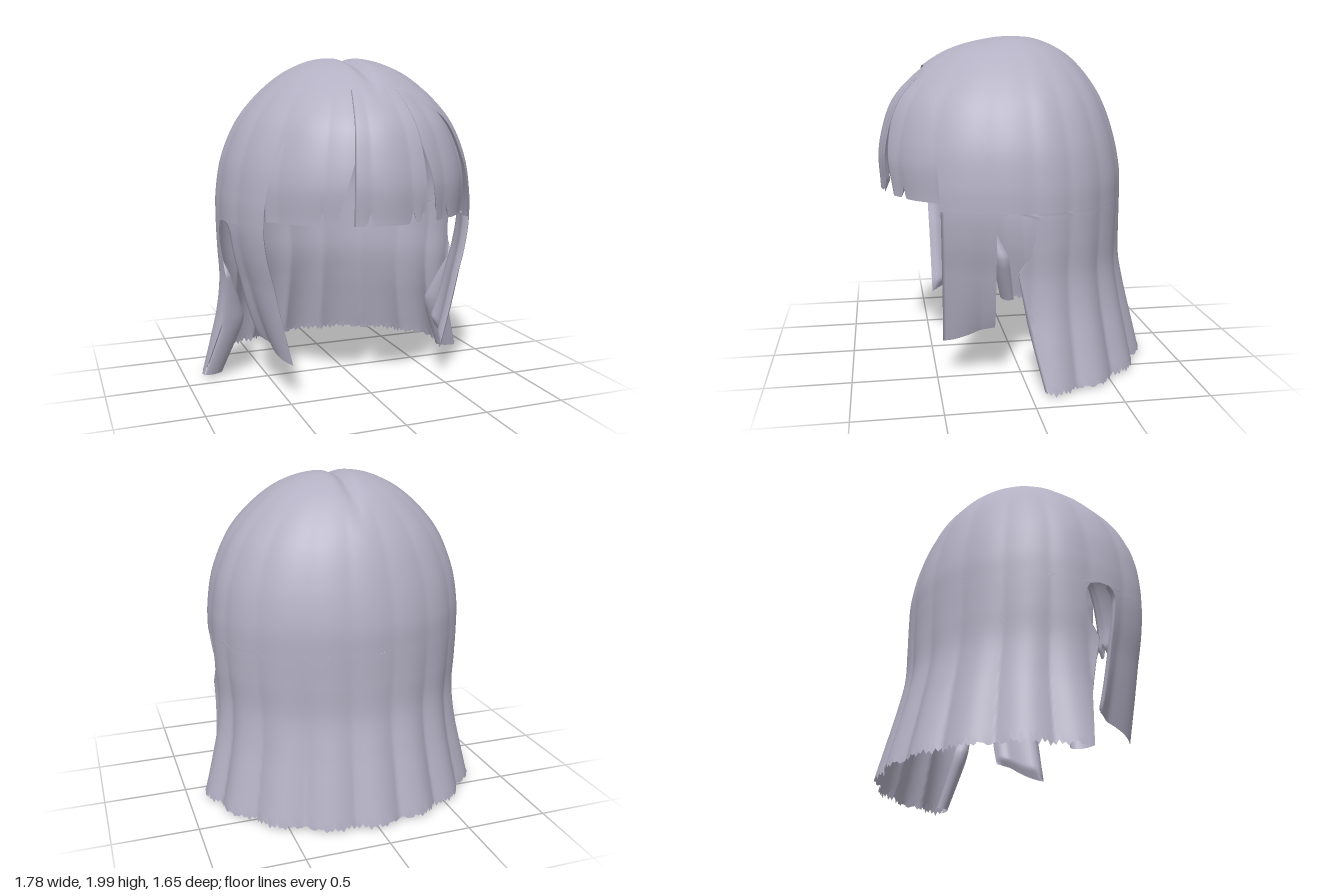
import * as THREE from 'three';

// Horizontal outlines from crown to hem: height, half width, depth behind, depth in front
const rings = [
  [2.0, 0, 0, 0], [1.985, 0.17, 0.13, 0.14], [1.94, 0.3, 0.25, 0.33], [1.87, 0.42, 0.36, 0.48],
  [1.75, 0.555, 0.47, 0.64], [1.6, 0.67, 0.56, 0.77], [1.4, 0.755, 0.63, 0.84], [1.2, 0.79, 0.67, 0.865],
  [1.04, 0.795, 0.675, 0.87], [0.85, 0.79, 0.675, 0.87], [0.65, 0.78, 0.68, 0.86],
  [0.45, 0.8, 0.72, 0.86], [0.25, 0.845, 0.77, 0.86], [0.03, 0.9, 0.825, 0.86],
];
const CENTER = -0.02;
const profile = new THREE.CubicInterpolant(rings.map((_, i) => i), rings.flat(), 4);
const ringAt = (t) => Array.from(profile.evaluate(t));
const { lerp, clamp, smoothstep } = THREE.MathUtils;

// Point on the hair volume: t runs down the rings, a runs round from the back (0) to the front (PI)
function hairPoint(t, a, scale = 1) {
  const [y, w, back, front] = ringAt(t);
  const amp = 0.012 * smoothstep(t, 1, 5) + 0.035 * smoothstep(1.1 - y, 0, 1);
  const wave = 0.5 * Math.sin(3.7 * a + 0.6);
  const r = scale * (1 - amp * (1 - Math.abs(Math.cos(9 * a + wave * 0.4))));
  const c = -Math.cos(a);
  const x = w * r * Math.sin(a);
  const z = CENTER + (c > 0 ? front : back) * r * c;
  const parting = 0.028 * Math.exp(-((x / 0.045) ** 2)) * (1 - smoothstep(t, 2, 4.5));
  return new THREE.Vector3(x, y - parting, z);
}

// Angle at which ring t reaches depth z
function angleAt(t, z, scale = 1) {
  const [, , back, front] = ringAt(t);
  const d = z - CENTER;
  return Math.acos(clamp(-d / ((d > 0 ? front : back) * scale + 1e-6), -1, 1));
}

// Piecewise linear lookup in a list of [y, value], highest y first
function lookup(list, y) {
  for (let i = 1; i < list.length; i++) {
    const [y0, v0] = list[i - 1], [y1, v1] = list[i];
    if (y >= y1) return lerp(v0, v1, clamp((y0 - y) / (y0 - y1), 0, 1));
  }
  return list[list.length - 1][1];
}

// Smooth sheet from a rule f(u, v)
function sheet(cols, rows, f) {
  const pos = [], index = [];
  for (let i = 0; i <= rows; i++) {
    for (let j = 0; j <= cols; j++) pos.push(...f(j / cols, i / rows).toArray());
  }
  for (let i = 0; i < rows; i++) {
    for (let j = 0; j < cols; j++) {
      const p = i * (cols + 1) + j, q = p + cols + 1;
      index.push(p, p + 1, q, p + 1, q + 1, q);
    }
  }
  const g = new THREE.BufferGeometry();
  g.setAttribute('position', new THREE.Float32BufferAttribute(pos, 3));
  g.setIndex(index);
  g.computeVertexNormals();
  return g;
}

// Closed lock: an outer sheet and an inner one that meet along the sides and the tip
function lock(cols, rows, thickness, f) {
  return sheet(cols * 2, rows, (u, v) => {
    const inner = u > 0.5;
    const s = inner ? 2 - 2 * u : 2 * u;
    const p = f(s, v);
    if (inner) {
      const k = thickness * Math.min(1, 12 * s * (1 - s)) * Math.min(1, (1 - v) * 12);
      const len = Math.hypot(p.x, p.z) || 1;
      p.x -= (p.x / len) * k;
      p.z -= (p.z / len) * k;
    }
    return p;
  });
}

export function createModel() {
  const model = new THREE.Group();
  const hair = new THREE.MeshStandardMaterial({ color: 0xb3b0c3, side: THREE.DoubleSide });
  hair.name = 'greyLilacHair';
  const add = (name, geometry) => {
    const mesh = new THREE.Mesh(geometry, hair);
    mesh.name = name;
    model.add(mesh);
  };

  // Cap over the head, cut off in a flat plane above the fringe
  add('crownCap', sheet(160, 72, (u, v) => {
    const t = 8 * v;
    const zFront = lookup([[1.83, 0.53], [1.04, 0.48]], ringAt(t)[0]);
    return hairPoint(t, lerp(-1, 1, u) * angleAt(t, zFront));
  }));

  // Long back hair, with its front edge curving round the ear opening and a ragged hem
  const rearEdge = [[1.04, 0.06], [1.02, 0], [0.98, -0.025], [0.9, -0.035], [0.8, -0.01], [0.7, 0.06], [0.03, -0.09]];
  const edgeAngle = (t) => angleAt(t, lookup(rearEdge, ringAt(t)[0]));
  add('backHair', sheet(160, 44, (u, v) => {
    const t = 8 + 5 * v;
    const p = hairPoint(t, lerp(-1, 1, u) * edgeAngle(t));
    if (v === 1) p.y += 0.012 * Math.sin(u * 517) + 0.008 * Math.sin(u * 191) - 0.005;
    return p;
  }));

  for (const side of [1, -1]) {
    const label = side > 0 ? 'left' : 'right';

    // Front edge of the back hair, rolled inward
    add(label + 'RolledEdge', sheet(14, 30, (u, v) => {
      const t = 9.4 + 3.6 * v;
      const p = hairPoint(t, edgeAngle(t));
      const r = lookup([[0.78, 0], [0.4, 0.075], [0.03, 0.06]], p.y);
      const phi = u * Math.PI * 1.3;
      p.x = side * (p.x - r * (1 - Math.cos(phi)));
      p.z += r * 0.5 * Math.sin(phi) - r * u;
      return p;
    }));

    // Lock in front of the ear, drawn inward to a slanted tip
    add(label + 'SideLock', lock(16, 40, 0.045, (s, v) => {
      const t = 8 + 4 * v;
      const y = ringAt(t)[0];
      const zBack = lookup([[1.04, 0.12], [1.02, 0.16], [0.98, 0.18], [0.25, 0.17]], y);
      const zFront = lookup([[1.04, 0.48], [0.25, 0.47]], y);
      const a = angleAt(t, lerp(zBack, zFront, side > 0 ? s : 1 - s));
      const [, w] = ringAt(Math.min(t, 10));
      const p = hairPoint(t, a);
      const drop = clamp((1.04 - y) / 0.8, 0, 1);
      p.x = side * (w * Math.sin(a) * (p.x / (ringAt(t)[1] * Math.sin(a))) - 0.16 * drop ** 1.5);
      const f = (p.z - 0.18) / 0.29;
      p.y += lerp(0.08, -0.03, clamp(f, 0, 1)) * v ** 4;
      return p;
    }));
  }

  // Fringe in three panels, parted by two tapering slits, with small nicks along the hem
  const SCALE = 0.965, SLIT = 0.29;
  const nicks = [-0.52, -0.17, 0.18, 0.27, 0.56];
  const slitGap = (y, top) => 0.13 * clamp((top - y) / (top - 1.09), 0, 1);
  const outerAngle = (t) => Math.max(SLIT + 0.02, Math.PI - angleAt(t, 0.44, SCALE));
  const panels = [
    ['fringeRight', (t) => -outerAngle(t), (t, y) => -SLIT - slitGap(y, 1.42)],
    ['fringeCentre', () => -SLIT, () => SLIT],
    ['fringeLeft', (t, y) => SLIT + slitGap(y, 1.5), (t) => outerAngle(t)],
  ];
  for (const [name, from, to] of panels) {
    add(name, lock(40, 48, 0.035, (s, v) => {
      const t = 3 + 4.7 * v;
      const y = ringAt(t)[0];
      const b = lerp(to(t, y), from(t, y), s);
      const curl = 1 - 0.025 * smoothstep(1.3 - y, 0, 0.22);
      const p = hairPoint(t, Math.PI - b, SCALE * curl);
      const nick = nicks.reduce((sum, n) => sum + Math.exp(-(((b - n) / 0.018) ** 2)), 0);
      p.y += (0.07 * nick - 0.015) * v ** 12;
      return p;
    }));
  }
  return model;
}
